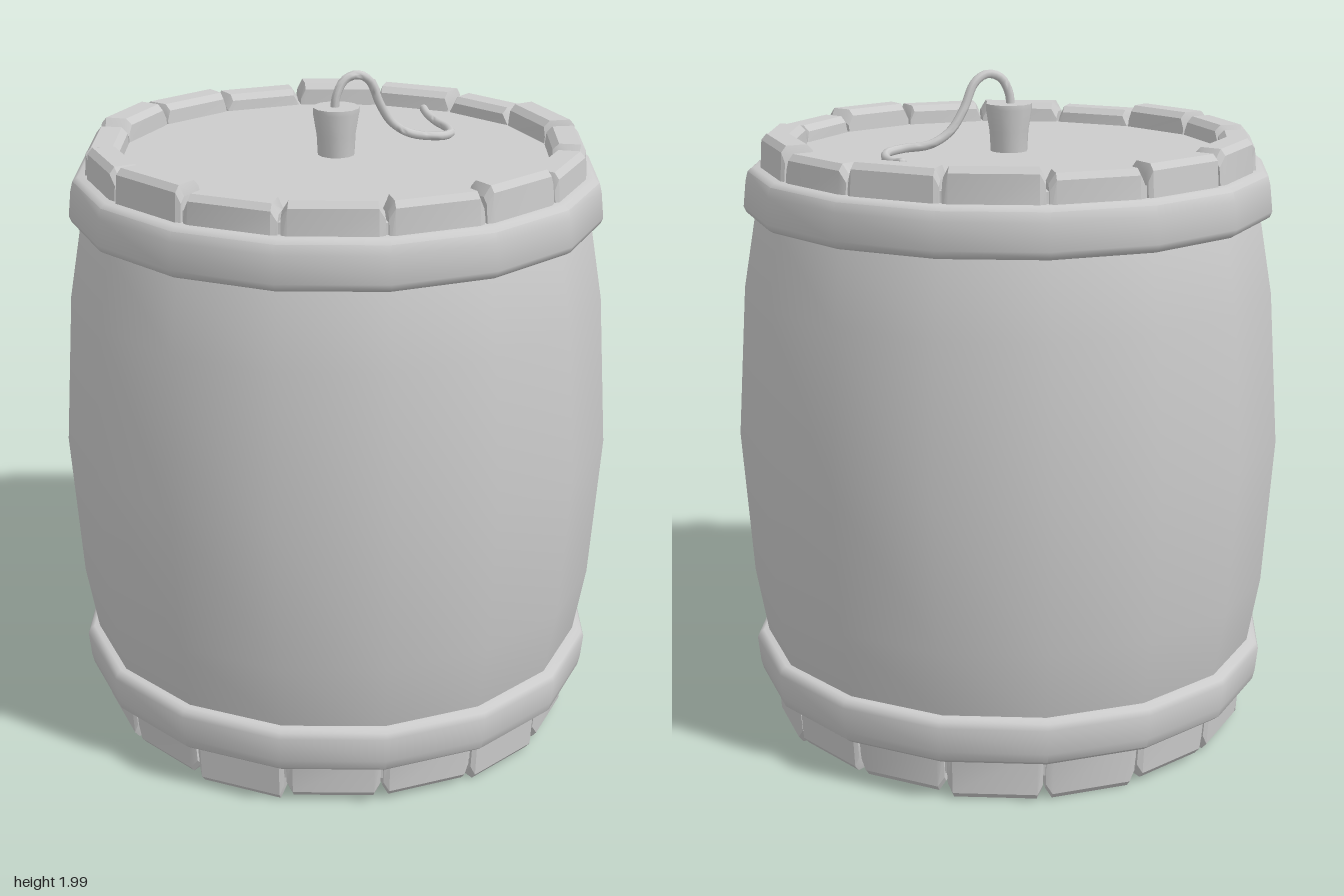
import * as THREE from 'three';
import { toCreasedNormals } from 'three/addons/utils/BufferGeometryUtils.js';

const SIDES = 16;
const material = new THREE.MeshStandardMaterial({ color: 0xcccccc });

function addMesh(parent, name, geometry, crease = 0.62) {
  const mesh = new THREE.Mesh(toCreasedNormals(geometry, crease), material);
  mesh.name = name;
  parent.add(mesh);
  return mesh;
}

// Sixteen-sided turned shape from [radius, height] pairs, bottom to top
function lathe(points, sides = SIDES) {
  return new THREE.LatheGeometry(points.map(([r, y]) => new THREE.Vector2(r, y)), sides);
}

// One stave end: a straight block between two barrel corners with sloping ends
function staveGeometry(index, top) {
  const step = (Math.PI * 2) / SIDES;
  const a = index * step, b = a + step;
  const bevel = 0.06 + 0.025 * Math.sin(index * 2.7);
  const sections = [
    [0.015, 0.03, 0.008], [0.015 + bevel, 0, 0],
    [0.985 - bevel, 0, 0], [0.985, 0.03, 0.008],
  ].map(([t, drop, inset]) => {
    const h = top - drop;
    const x = THREE.MathUtils.lerp(Math.sin(a), Math.sin(b), t);
    const z = THREE.MathUtils.lerp(Math.cos(a), Math.cos(b), t);
    return [
      [0.738 - inset, 1.68], [0.73 - inset, h - 0.018], [0.715 - inset, h],
      [0.652 + inset, h], [0.634, h - 0.018], [0.63, 1.74],
    ].map(([r, y]) => [x * r, y, z * r]);
  });
  const n = sections[0].length, positions = [];
  const tri = (...corners) => corners.forEach((p) => positions.push(...p));
  for (let s = 0; s < sections.length - 1; s++) {
    for (let j = 0; j < n; j++) {
      const k = (j + 1) % n, p = sections[s], q = sections[s + 1];
      tri(p[j], q[j], q[k]);
      tri(p[j], q[k], p[k]);
    }
  }
  const first = sections[0], last = sections[sections.length - 1];
  for (let j = 1; j < n - 1; j++) {
    tri(first[0], first[j], first[j + 1]);
    tri(last[0], last[j + 1], last[j]);
  }
  const geometry = new THREE.BufferGeometry();
  geometry.setAttribute('position', new THREE.Float32BufferAttribute(positions, 3));
  return geometry;
}

// Ring of stave ends standing proud of the lid
function staveRing(name, phase) {
  const ring = new THREE.Group();
  ring.name = name;
  for (let i = 0; i < SIDES; i++) {
    const top = 1.818 + 0.01 * Math.sin(i * 2.1 + phase);
    addMesh(ring, 'staveEnd', staveGeometry(i, top), 0.5);
  }
  return ring;
}

export function createModel() {
  const barrel = new THREE.Group();
  barrel.name = 'barrel';

  // Bulging body, closed by the recessed lid and base
  addMesh(barrel, 'body', lathe([
    [0, 0.08], [0.715, 0.08], [0.722, 0.16], [0.755, 0.28], [0.79, 0.48],
    [0.82, 0.92], [0.79, 1.37], [0.752, 1.59], [0.72, 1.68], [0.715, 1.76], [0, 1.76],
  ]));

  // Stave ends above the lid, and the same ring turned over beneath the base
  barrel.add(staveRing('topStaves', 0));
  const bottomStaves = staveRing('bottomStaves', 1.5);
  bottomStaves.rotation.x = Math.PI;
  bottomStaves.position.y = 1.835;
  barrel.add(bottomStaves);

  // Hoops with rounded edges, each narrower toward its barrel end
  const hoop = [
    [0.7, 0], [0.765, 0], [0.778, 0.008], [0.785, 0.025], [0.777, 0.1],
    [0.77, 0.128], [0.755, 0.14], [0.7, 0.14], [0.7, 0],
  ];
  addMesh(barrel, 'topHoop', lathe(hoop.map(([r, y]) => [r, 1.588 + y])), 0.7);
  addMesh(barrel, 'bottomHoop', lathe(hoop.map(([r, y]) => [r + 0.006, 0.278 - y]).reverse()), 0.7);

  // Stopper in the middle of the lid
  addMesh(barrel, 'stopper', lathe([
    [0, 1.75], [0.054, 1.75], [0.058, 1.82], [0.069, 1.885], [0.069, 1.9], [0, 1.9],
  ], 12));

  // Fuse looping out of the stopper and trailing over the lid
  const path = new THREE.CatmullRomCurve3([
    [-0.005, 1.88, 0], [0, 1.93, 0], [0.025, 1.975, -0.007], [0.065, 1.988, -0.015],
    [0.105, 1.965, -0.03], [0.14, 1.89, -0.045], [0.18, 1.83, -0.058],
    [0.24, 1.793, -0.068], [0.32, 1.782, -0.065], [0.365, 1.778, -0.1],
    [0.38, 1.775, -0.18], [0.365, 1.775, -0.27], [0.35, 1.785, -0.33], [0.35, 1.79, -0.38],
  ].map((p) => new THREE.Vector3(...p)));
  addMesh(barrel, 'fuse', new THREE.TubeGeometry(path, 56, 0.013, 8), 1);

  // Rounded tip closing the fuse
  const tip = addMesh(barrel, 'fuseTip', new THREE.SphereGeometry(0.013, 8, 6), 1);
  tip.position.set(0.35, 1.79, -0.38);

  return barrel;
}
